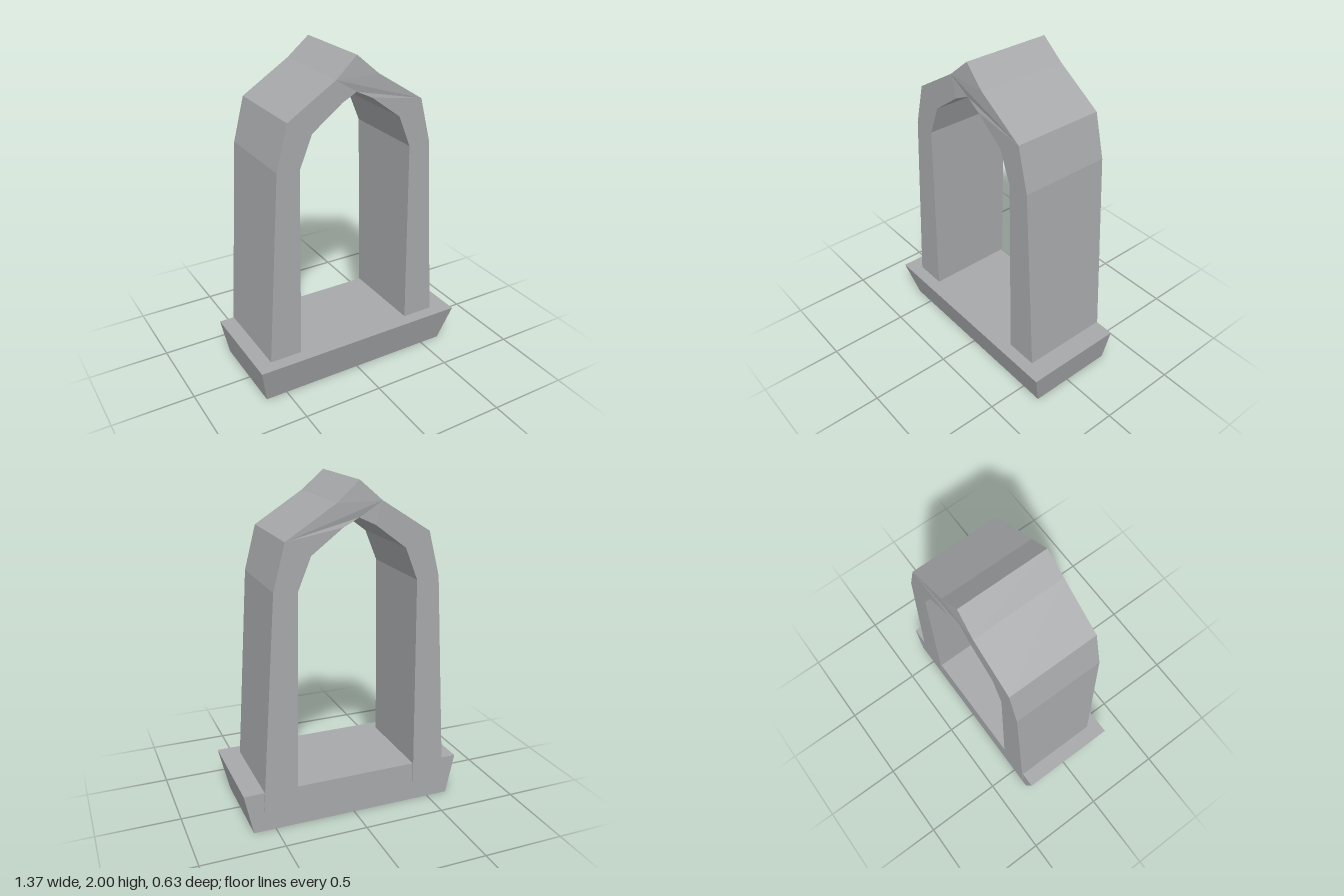
import * as THREE from 'three';

export function createModel() {
  const group = new THREE.Group();
  const stone = new THREE.MeshStandardMaterial({ color: 0xa6a8aa, flatShading: true });
  stone.name = 'grey stone';

  // Plinth: block whose front and sides lean inwards towards the bottom, with an upright back
  const plinthGeo = new THREE.BoxGeometry(1.374, 0.25, 0.626);
  plinthGeo.translate(0, 0.125, 0.003);
  const p = plinthGeo.attributes.position;
  for (let i = 0; i < p.count; i++) {
    if (p.getY(i) > 0.1) continue;
    p.setX(i, Math.sign(p.getX(i)) * 0.634);
    if (p.getZ(i) > 0) p.setZ(i, 0.245);
  }
  plinthGeo.computeVertexNormals();
  const plinth = new THREE.Mesh(plinthGeo, stone);
  plinth.name = 'plinth';
  group.add(plinth);

  // Pointed arch: half profiles from foot to apex, mirrored about the arch's centre line
  const outer = [[0.585, 0.13], [0.495, 1.435], [0.425, 1.7], [0.133, 1.885], [0, 2]];
  const inner = [[0.379, 0.13], [0.357, 1.425], [0.28, 1.615], [0.094, 1.755], [0, 1.8]];
  const whole = (half) => [
    ...half.map(([x, y]) => new THREE.Vector2(x, y)),
    ...half.slice(0, -1).reverse().map(([x, y]) => new THREE.Vector2(-x, y)),
  ];
  const shape = new THREE.Shape([...whole(outer), ...whole(inner).reverse()]);
  const archGeo = new THREE.ExtrudeGeometry(shape, { depth: 0.553, bevelEnabled: false });
  archGeo.translate(0, 0, -0.316);

  // The arch is slightly thinner at its apex
  const a = archGeo.attributes.position;
  for (let i = 0; i < a.count; i++) {
    if (Math.abs(a.getX(i)) < 0.001) a.setZ(i, a.getZ(i) - Math.sign(a.getZ(i)) * 0.008);
  }
  archGeo.computeVertexNormals();
  const arch = new THREE.Mesh(archGeo, stone);
  arch.name = 'pointedArch';
  arch.position.x = -0.015;
  group.add(arch);

  return group;
}
